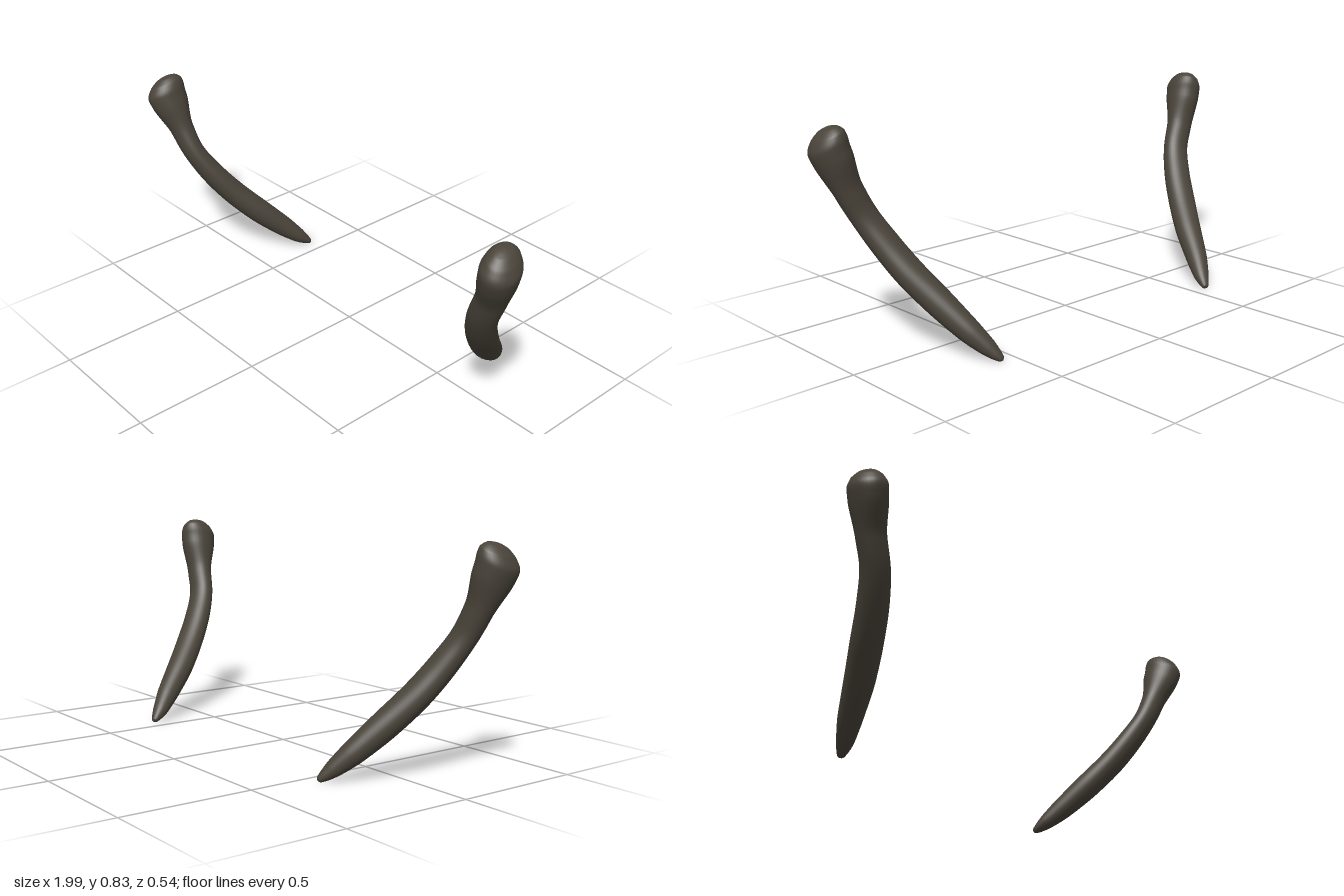
import * as THREE from 'three';

// Sections from tip to knob: centre x, y, z, then half-width sideways and half-depth
const SECTIONS = [
  [0.558, 0.005, -0.265, 0.000, 0.000],
  [0.560, 0.008, -0.261, 0.012, 0.010],
  [0.568, 0.020, -0.246, 0.021, 0.019],
  [0.584, 0.045, -0.217, 0.032, 0.031],
  [0.620, 0.100, -0.160, 0.044, 0.044],
  [0.678, 0.200, -0.060, 0.055, 0.052],
  [0.735, 0.300, 0.027, 0.059, 0.051],
  [0.783, 0.400, 0.097, 0.058, 0.048],
  [0.830, 0.500, 0.148, 0.055, 0.044],
  [0.877, 0.600, 0.169, 0.056, 0.049],
  [0.914, 0.700, 0.188, 0.066, 0.076],
  [0.929, 0.750, 0.196, 0.067, 0.081],
  [0.931, 0.790, 0.192, 0.052, 0.068],
  [0.931, 0.813, 0.190, 0.029, 0.040],
  [0.931, 0.819, 0.190, 0.013, 0.018],
  [0.931, 0.821, 0.190, 0.000, 0.000],
];
const KNOB = 10; // sections past this keep the same tilt

function hornGeometry(side, rows = 90, sides = 32) {
  const path = new THREE.CatmullRomCurve3(SECTIONS.map(s => new THREE.Vector3(s[0], s[1], s[2])));
  const radii = new THREE.CatmullRomCurve3(SECTIONS.map(s => new THREE.Vector3(s[3], s[4], 0)));
  const last = SECTIONS.length - 1;
  const positions = [];
  const index = [];
  const put = p => positions.push(p.x * side, p.y, p.z);
  const face = (a, b, c) => (side > 0 ? index.push(a, b, c) : index.push(a, c, b));

  // Elliptical rings square to the path
  for (let i = 1; i < rows; i++) {
    const t = i / rows;
    const centre = path.getPoint(t);
    const r = radii.getPoint(t);
    const along = path.getTangent(Math.min(t, KNOB / last));
    const across = new THREE.Vector3(1, 0, -0.2).projectOnPlane(along).normalize();
    const depth = along.clone().cross(across);
    for (let j = 0; j < sides; j++) {
      const a = (j / sides) * Math.PI * 2;
      put(centre.clone()
        .addScaledVector(across, Math.cos(a) * r.x)
        .addScaledVector(depth, Math.sin(a) * r.y));
    }
  }
  const rings = rows - 1;
  const tip = rings * sides;
  const top = tip + 1;
  put(path.getPoint(0));
  put(path.getPoint(1));

  for (let j = 0; j < sides; j++) {
    const k = (j + 1) % sides;
    for (let i = 0; i < rings - 1; i++) {
      const a = i * sides;
      const b = a + sides;
      face(a + j, a + k, b + k);
      face(a + j, b + k, b + j);
    }
    // Closed ends
    face(tip, k, j);
    face(top, (rings - 1) * sides + j, (rings - 1) * sides + k);
  }

  const geometry = new THREE.BufferGeometry();
  geometry.setAttribute('position', new THREE.Float32BufferAttribute(positions, 3));
  geometry.setIndex(index);
  geometry.computeVertexNormals();
  return geometry;
}

export function createModel() {
  const group = new THREE.Group();
  group.name = 'hornPair';
  const material = new THREE.MeshStandardMaterial({ color: 0x4a443a });
  for (const side of [1, -1]) {
    const horn = new THREE.Mesh(hornGeometry(side), material);
    horn.name = side > 0 ? 'leftHorn' : 'rightHorn';
    group.add(horn);
  }
  return group;
}
